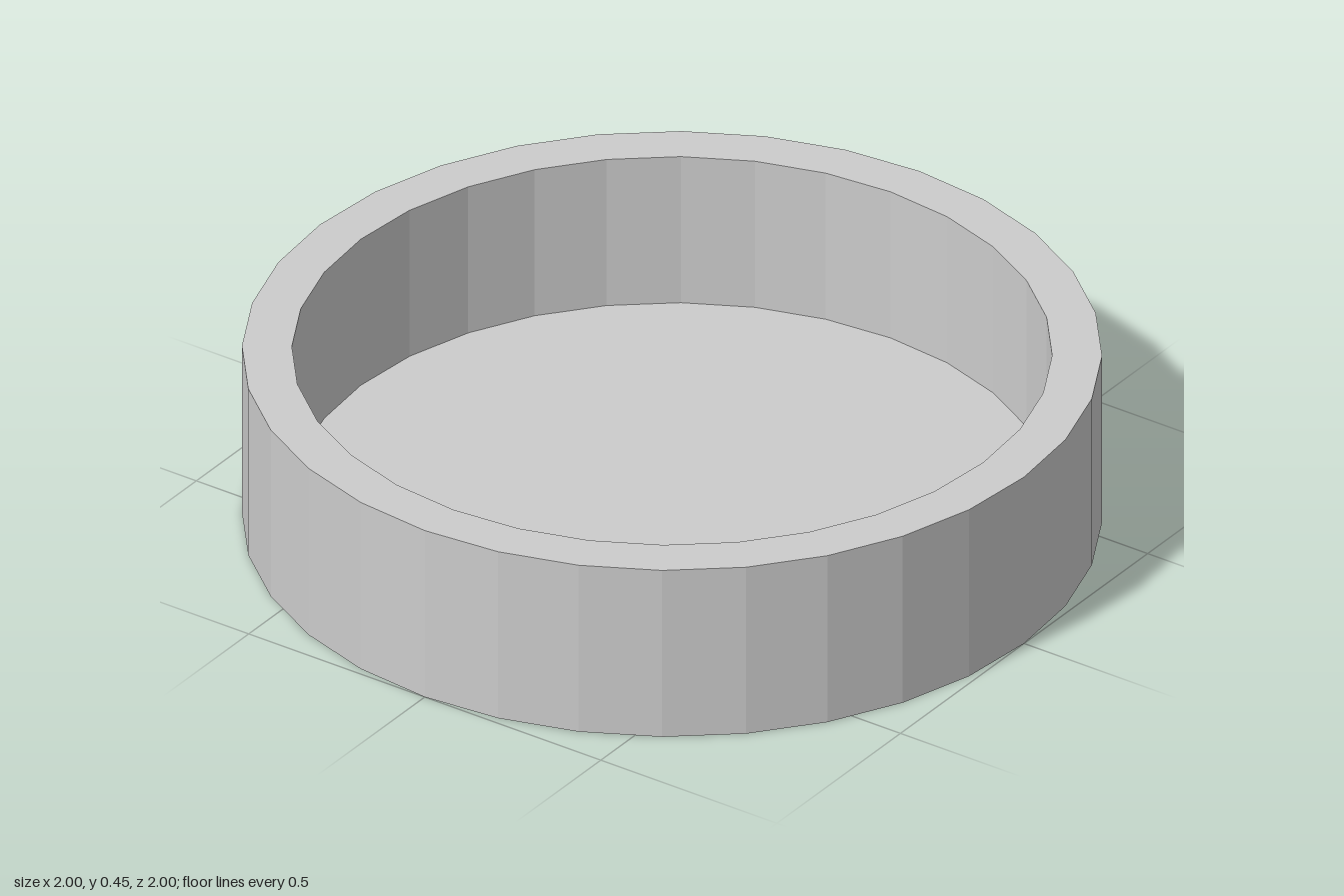
import * as THREE from 'three';

const SIDES = 32;
const OUTER = 1, INNER = 0.884, HEIGHT = 0.45, FLOOR = 0.055;

export function createModel() {
  const model = new THREE.Group();
  model.name = 'shallowDish';

  // Closed profile: underside, outer wall, flat rim, inner wall, floor
  const profile = [
    [0, 0], [OUTER, 0], [OUTER, HEIGHT],
    [INNER, HEIGHT], [INNER, FLOOR], [0, FLOOR],
  ].map(([r, y]) => new THREE.Vector2(r, y));

  const dish = new THREE.Mesh(
    new THREE.LatheGeometry(profile, SIDES),
    new THREE.MeshStandardMaterial({ color: 0xcccccc, flatShading: true }),
  );
  dish.name = 'dish';
  model.add(dish);
  return model;
}
